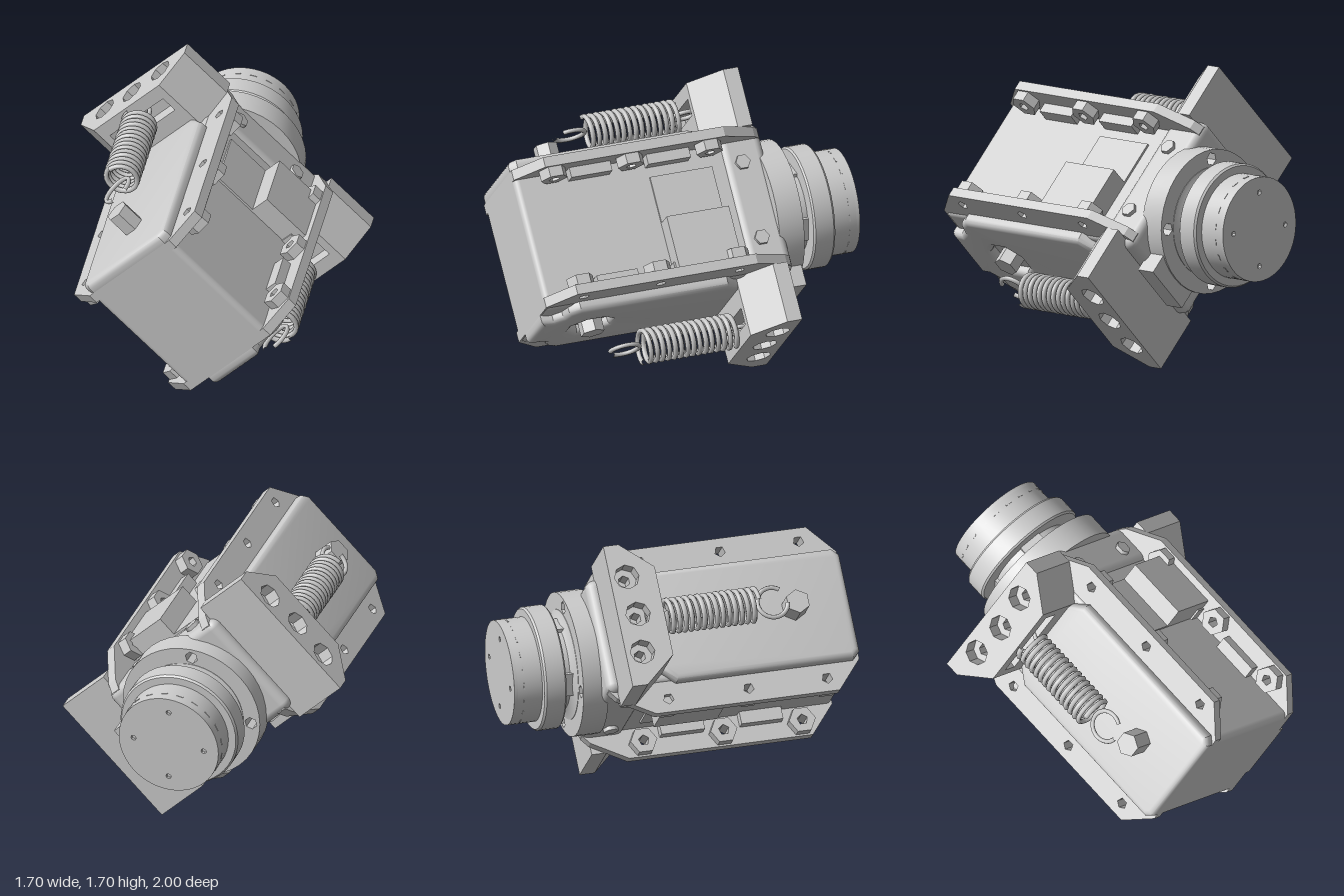
import * as THREE from 'three';
import { toCreasedNormals } from 'three/addons/utils/BufferGeometryUtils.js';
import { RoundedBoxGeometry } from 'three/addons/geometries/RoundedBoxGeometry.js';

const mat = new THREE.MeshStandardMaterial({ color: 0xcccccc });
const V = (x, y) => new THREE.Vector2(x, y);

function add(parent, name, geo, x = 0, y = 0, z = 0) {
  const m = new THREE.Mesh(geo, mat);
  m.name = name;
  m.position.set(x, y, z);
  parent.add(m);
  return m;
}

// Box given by its limits on each axis
function block(parent, name, x0, x1, y0, y1, z0, z1, radius = 0) {
  const s = [x1 - x0, y1 - y0, z1 - z0];
  const geo = radius ? new RoundedBoxGeometry(...s, 3, radius) : new THREE.BoxGeometry(...s);
  return add(parent, name, geo, (x0 + x1) / 2, (y0 + y1) / 2, (z0 + z1) / 2);
}

// Corner points of a regular polygon
function ngon(cx, cy, r, n, turn = 0) {
  return Array.from({ length: n }, (_, i) => {
    const a = turn + (i / n) * Math.PI * 2;
    return V(cx + r * Math.cos(a), cy + r * Math.sin(a));
  });
}

function shapeOf(points, holes = []) {
  const s = new THREE.Shape(points);
  s.holes = holes.map(h => new THREE.Path(h));
  return s;
}

// Outline in (y, z), extruded along x from x0 to x1; an optional rounded rim
function slab(points, holes, x0, x1, bevel = 0) {
  const geo = new THREE.ExtrudeGeometry(shapeOf(points, holes), {
    depth: x1 - x0 - bevel, bevelEnabled: bevel > 0, bevelThickness: bevel,
    bevelSize: bevel, bevelOffset: -bevel, bevelSegments: 4,
  });
  geo.applyMatrix4(new THREE.Matrix4().makeBasis(
    new THREE.Vector3(0, 1, 0), new THREE.Vector3(0, 0, 1), new THREE.Vector3(1, 0, 0)));
  geo.translate(x0, 0, 0);
  return bevel ? toCreasedNormals(geo, 0.6) : geo;
}

class Helix extends THREE.Curve {
  getPoint(t, target = new THREE.Vector3()) {
    const a = t * 15 * Math.PI * 2;
    return target.set(0.093 * Math.cos(a), 0.093 * Math.sin(a), -0.16 + 0.56 * t);
  }
}

function spring(parent) {
  const g = new THREE.Group();
  g.name = 'spring';
  g.position.x = 0.657;
  parent.add(g);
  add(g, 'springCoil', new THREE.TubeGeometry(new Helix(), 360, 0.0155, 6));
  // End loops stand in the plane across the bracket
  const loop = new THREE.TorusGeometry(0.09, 0.0135, 6, 28, 5.2);
  loop.rotateZ(-2.2).rotateY(Math.PI / 2);
  add(g, 'springLoop', loop, 0, 0, 0.5);
  const hook = new THREE.TorusGeometry(0.07, 0.0135, 6, 20);
  add(g, 'springHook', hook.rotateY(Math.PI / 2), 0, 0, -0.2);
}

function bracket(parent) {
  const g = new THREE.Group();
  g.name = 'bracket';
  parent.add(g);
  const back = [V(-0.43, -0.45), V(0.43, -0.45), V(0.43, -0.36), V(0.27, -0.175)];
  const full = [...back, V(-0.27, -0.175), V(-0.43, -0.36)];
  const slotted = [...back, V(0.22, -0.175), V(0.22, -0.27), V(-0.22, -0.27),
    V(-0.22, -0.175), V(-0.27, -0.175), V(-0.43, -0.36)];
  const holes = (r, n) => [-0.23, 0, 0.23].map(y => ngon(y, y ? -0.35 : -0.33, r, n));
  add(g, 'bracketBase', slab(full, [], 0.42, 0.59));
  add(g, 'bracketSlot', slab(slotted, holes(0.035, 6), 0.59, 0.69));
  add(g, 'bracketFace', slab(full, holes(0.073, 8), 0.69, 0.773));
}

// Half of the housing on its +x side
function side(parent, notched, pinEnd) {
  const g = new THREE.Group();
  g.name = 'housingSide';
  parent.add(g);
  const screwZ = [0.79, 0.32, -0.16];

  // Bolted flange with chamfered corners
  const rim = [V(-0.33, 1), V(-0.5, 0.85), V(-0.5, -0.25), V(-0.38, -0.46), V(-0.33, -0.5),
    V(0.33, -0.5), V(0.38, -0.46), V(0.5, -0.25), V(0.5, 0.85), V(0.33, 1)];
  const screwHoles = [];
  for (const y of [-0.42, 0.42]) for (const z of screwZ) screwHoles.push(ngon(y, z, 0.032, 5));
  add(g, 'flange', slab(rim, screwHoles, 0.36, 0.42));

  for (const s of [-1, 1]) {
    for (const z of screwZ) {
      add(g, 'screwBoss', slab(ngon(s * 0.42, z, 0.08, 6, Math.PI / 6), [ngon(s * 0.42, z, 0.032, 5)], 0.3, 0.36));
    }
    for (const [z0, z1] of [[-0.05, 0.21], [0.43, 0.68]]) {
      block(g, 'flangeRib', 0.3, 0.36, s > 0 ? 0.32 : -0.4, s > 0 ? 0.4 : -0.32, z0, z1);
    }
  }

  // Raised side cover, with cut-back front corners and a pin recess on one side
  const w = 0.335;
  const half = notched
    ? [V(w, -0.1), V(w, 0.8), V(0.29, 0.86), V(0.22, 0.88), V(0.18, 0.93), V(0.18, 1)]
    : [V(w, -0.1), V(w, 0.96), V(0.295, 1)];
  const cover = [V(0.25, -0.2), ...half];
  const outline = [...cover, ...cover.map(p => V(-p.x, p.y)).reverse()];
  const recess = notched ? [ngon(0, 0.66, 0.13, 8, Math.PI / 8)] : [];
  add(g, 'sideCover', slab(outline, recess, 0.42, 0.485, 0.035));

  add(g, 'springPin', slab(ngon(0, 0.66, 0.072, 6), [], 0.4, pinEnd));

  // Raised box and shallow pad on the broad face
  block(g, 'raisedBox', 0.04, 0.38, 0.3, 0.458, -0.18, 0.2);
  block(g, 'shallowPad', -0.24, 0.04, 0.3, 0.338, -0.18, 0.2);

  // Rear screw bosses on the broad face
  for (const x of [-0.23, 0.23]) {
    const boss = add(g, 'rearScrew', new THREE.CylinderGeometry(0.045, 0.045, 0.04, 6), x, 0.35, -0.36);
    boss.scale.set(1, 0.9, 1);
  }
  bracket(g);
  spring(g);
  return g;
}

function rearDrum(parent) {
  const g = new THREE.Group();
  g.name = 'rearDrum';
  parent.add(g);
  const quarter = [0, 1, 2, 3].map(i => Math.PI / 4 + i * Math.PI / 2);
  const plate = (name, r, n, z0, z1, holeR, ringR, holeN) => {
    const holes = quarter.map(a => ngon(ringR * Math.cos(a), ringR * Math.sin(a), holeR, holeN));
    const geo = new THREE.ExtrudeGeometry(shapeOf(ngon(0, 0, r, n), holes), { depth: z1 - z0, bevelEnabled: false });
    add(g, name, toCreasedNormals(geo, 0.5), 0, 0, z0);
  };
  plate('mountingDisk', 0.42, 40, -0.62, -0.47, 0.038, 0.365, 6);
  block(g, 'mountingLug', 0.35, 0.505, -0.17, 0.17, -0.61, -0.49);

  // Neck, collar and end barrel turned on one axis
  const profile = [[0.33, -0.6], [0.32, -0.622], [0.275, -0.635], [0.255, -0.65], [0.255, -0.7], [0.35, -0.7],
    [0.36, -0.71], [0.36, -0.82], [0.35, -0.832], [0.305, -0.832], [0.305, -0.98]];
  const lathe = new THREE.LatheGeometry(profile.map(([r, z]) => V(r, -z)), 48);
  lathe.rotateX(-Math.PI / 2);
  add(g, 'neckAndCollar', toCreasedNormals(lathe, 0.6));
  plate('endPlate', 0.305, 48, -1, -0.98, 0.016, 0.215, 8);
  add(g, 'endCore', new THREE.CylinderGeometry(0.29, 0.29, 0.02, 32).rotateX(Math.PI / 2), 0, 0, -0.965);
  for (const a of quarter) {
    const post = add(g, 'neckPost', new THREE.BoxGeometry(0.06, 0.14, 0.08), 0.235 * Math.cos(a), 0.235 * Math.sin(a), -0.66);
    post.rotation.z = a;
  }
  // Small marks around the barrel
  for (let i = 0; i < 20; i++) {
    const a = (i / 20) * Math.PI * 2;
    const tick = add(g, 'barrelMark', new THREE.BoxGeometry(0.006, 0.04, 0.008), 0.304 * Math.cos(a), 0.304 * Math.sin(a), -0.94);
    tick.rotation.z = a;
  }
}

export function createModel() {
  const root = new THREE.Group();
  root.name = 'springMountedHousing';
  // The whole device is tilted about its long axis
  const device = new THREE.Group();
  device.name = 'device';
  device.rotation.z = -Math.PI / 4;
  device.position.y = 0.855;
  root.add(device);

  block(device, 'housingCore', -0.43, 0.43, -0.325, 0.325, -0.3, 1, 0.035);
  block(device, 'rearBlock', -0.455, 0.455, -0.345, 0.345, -0.51, -0.25, 0.05);
  side(device, true, 0.53);
  side(device, false, 0.62).rotation.z = Math.PI;
  rearDrum(device);
  return root;
}
